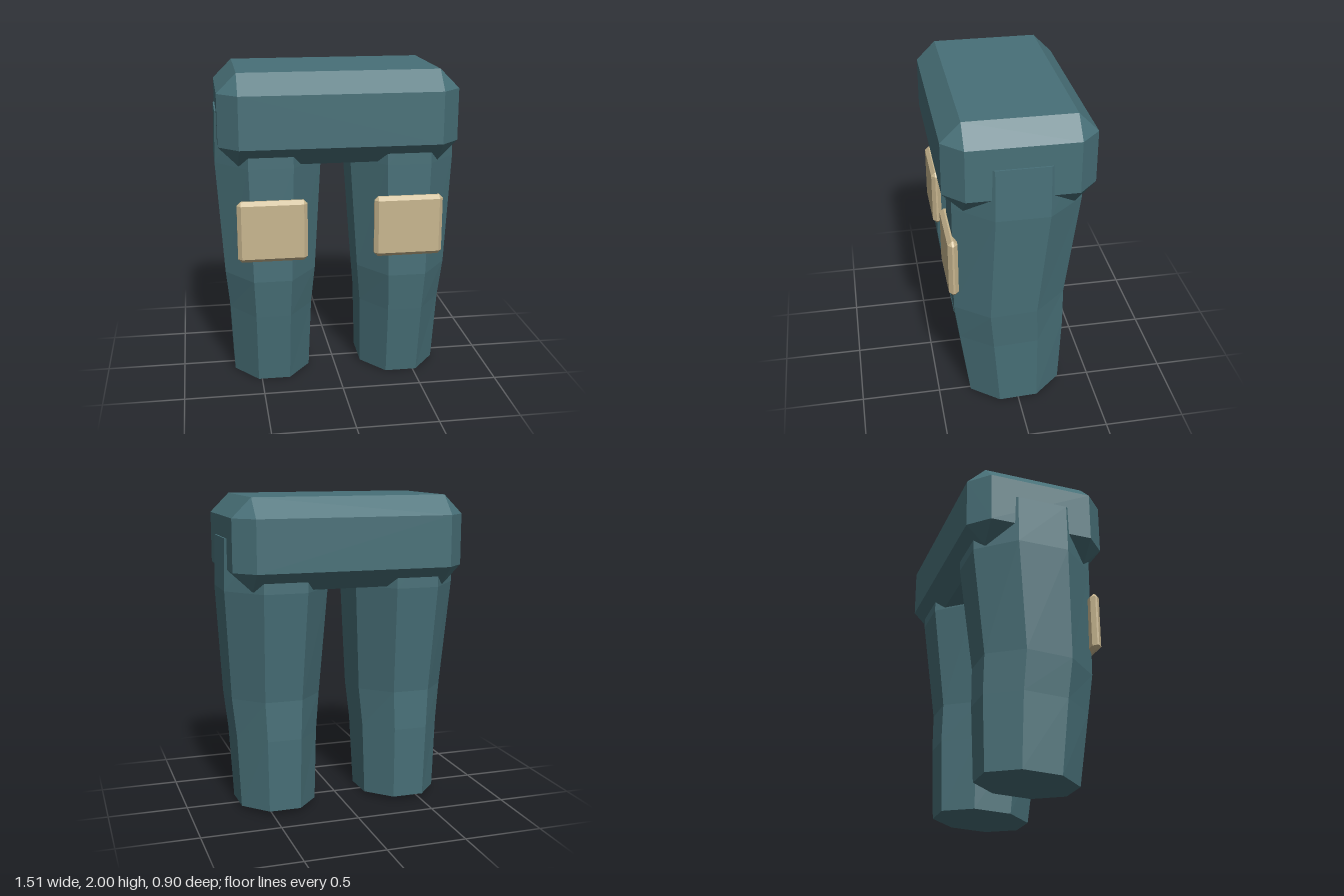
import * as THREE from 'three';
import { ConvexGeometry } from 'three/addons/geometries/ConvexGeometry.js';

// Box with every edge and corner cut off by c
function chamferedBox(w, h, d, c) {
  const points = [];
  for (const x of [-w / 2, w / 2]) for (const y of [-h / 2, h / 2]) for (const z of [-d / 2, d / 2]) {
    const cx = x - Math.sign(x) * c, cy = y - Math.sign(y) * c, cz = z - Math.sign(z) * c;
    points.push(new THREE.Vector3(x, cy, cz), new THREE.Vector3(cx, y, cz), new THREE.Vector3(cx, cy, z));
  }
  return new ConvexGeometry(points);
}

// Leg rings, top to bottom: height, tilt, centre x, half width, centre z, half depth
const RINGS = [
  [1.75, 0, 0.423, 0.322, 0.003, 0.387],
  [1.43, 0, 0.424, 0.33, 0.002, 0.388],
  [0.73, -0.05, 0.424, 0.286, 0.044, 0.346],
  [0.48, -0.045, 0.423, 0.262, 0.026, 0.332],
  [0.0165, -0.043, 0.42, 0.245, 0.002, 0.292],
];

// Eight-sided leg: a cylinder whose rows are moved onto the rings
function legGeometry(side) {
  const geo = new THREE.CylinderGeometry(1, 1, 1, 8, RINGS.length - 1, false, Math.PI / 8);
  const pos = geo.attributes.position;
  const k = 1 / Math.cos(Math.PI / 8);
  for (let i = 0; i < pos.count; i++) {
    const row = Math.round((0.5 - pos.getY(i)) * (RINGS.length - 1));
    const [y, tilt, cx, rx, cz, rz] = RINGS[row];
    const z = cz + pos.getZ(i) * k * rz;
    pos.setXYZ(i, side * cx + pos.getX(i) * k * rx, y + tilt * z, z);
  }
  const flat = geo.toNonIndexed();
  flat.computeVertexNormals();
  return flat;
}

export function createModel() {
  const cloth = new THREE.MeshStandardMaterial({ color: 0x487078 });
  cloth.name = 'tealCloth';
  cloth.flatShading = true;
  const padding = new THREE.MeshStandardMaterial({ color: 0xc8b68f });
  padding.name = 'tanPadding';
  padding.flatShading = true;

  const model = new THREE.Group();
  model.name = 'trousers';
  const add = (name, geometry, material, x = 0, y = 0, z = 0) => {
    const mesh = new THREE.Mesh(geometry, material);
    mesh.name = name;
    mesh.position.set(x, y, z);
    model.add(mesh);
  };

  // Hip block
  add('hips', chamferedBox(1.47, 0.56, 0.9, 0.12), cloth, 0, 1.72, 0);

  // Legs and knee pads
  for (const [label, side] of [['left', 1], ['right', -1]]) {
    add(label + 'Leg', legGeometry(side), cloth);
    add(label + 'KneePad', chamferedBox(0.43, 0.385, 0.06, 0.024), padding, side * 0.422, 1.043, 0.395);
  }
  return model;
}
